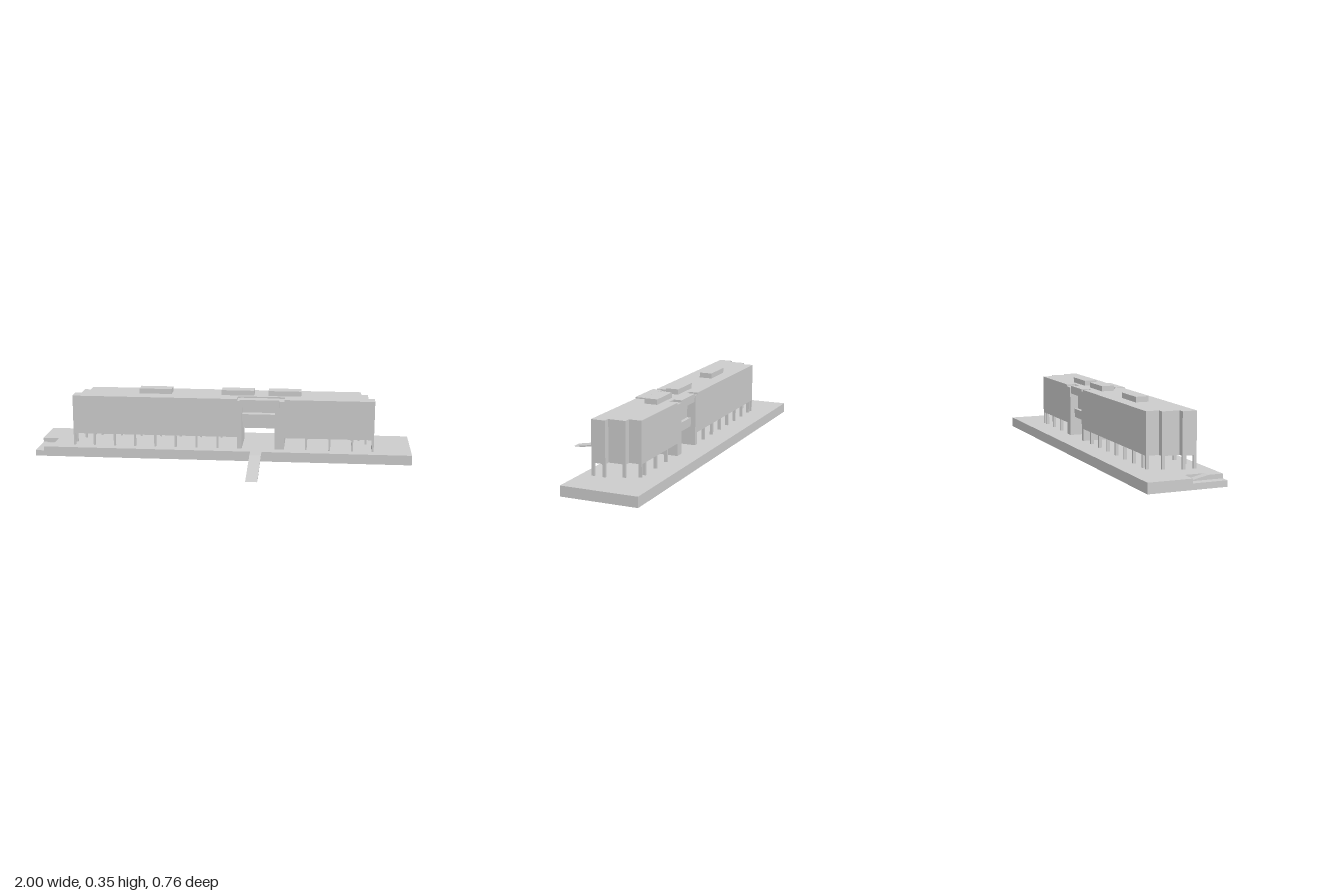
import * as THREE from 'three';

const mat = new THREE.MeshStandardMaterial({ color: 0xcccccc, flatShading: true, side: THREE.DoubleSide });

export function createModel() {
  const model = new THREE.Group();

  const add = (name, geo) => {
    const mesh = new THREE.Mesh(geo, mat);
    mesh.name = name;
    model.add(mesh);
    return mesh;
  };
  // Box given by its limits on each axis
  const box = (name, x0, x1, y0, y1, z0, z1) =>
    add(name, new THREE.BoxGeometry(x1 - x0, y1 - y0, z1 - z0)
      .translate((x0 + x1) / 2, (y0 + y1) / 2, (z0 + z1) / 2));
  // Plan outline of [x, z] points raised from y0 to y1
  const raise = (name, plan, y0, y1) => {
    const shape = new THREE.Shape(plan.map(([x, z]) => new THREE.Vector2(x, -z)));
    const geo = new THREE.ExtrudeGeometry(shape, { depth: y1 - y0, bevelEnabled: false });
    return add(name, geo.rotateX(-Math.PI / 2).translate(0, y0, 0));
  };
  // Side outline of [z, y] points carried from x0 to x1
  const sweep = (name, side, x0, x1) => {
    const shape = new THREE.Shape(side.map(([z, y]) => new THREE.Vector2(-z, y)));
    const geo = new THREE.ExtrudeGeometry(shape, { depth: x1 - x0, bevelEnabled: false });
    return add(name, geo.rotateY(Math.PI / 2).translate(x0, 0, 0));
  };

  const ground = 0.052, under = 0.115, top = 0.322;
  const front = -0.045, back = -0.27;

  // Plinth with a recessed corner: lower slab plus notched upper slab
  box('plinthLower', -1, 1, 0, 0.03, -0.379, 0.012);
  raise('plinthUpper', [
    [-0.955, 0.012], [1, 0.012], [1, -0.379], [-1, -0.379], [-1, -0.16],
    [-0.915, -0.16], [-0.915, -0.06], [-0.955, -0.06],
  ], 0.03, ground);
  sweep('cornerRamp', [[-0.16, 0.03], [-0.06, 0.03], [-0.06, ground]], -0.955, -0.915);

  // Sloping walkway from the plinth to the ground
  sweep('walkway', [
    [0.012, 0.045], [0.07, 0.045], [0.33, 0.001], [0.379, 0], [0.08, ground], [0.012, ground],
  ], 0.155, 0.215);

  // Two raised wings whose outer ends step in toward the back
  const wing = (name, inner, s) => raise(name, [
    [inner, front], [s * 0.803, front], [s * 0.803, -0.117], [s * 0.77, -0.117],
    [s * 0.77, -0.205], [s * 0.735, -0.205], [s * 0.735, back], [inner, back],
  ], under, top);
  wing('rightWing', 0.08, -1);
  wing('leftWing', 0.33, 1);

  // Central passage: side walls, bridge, bands and canopies
  box('passageWallRight', 0.08, 0.105, ground, 0.312, back, front);
  box('passageWallLeft', 0.28, 0.33, ground, 0.312, back, front);
  box('bridge', 0.08, 0.33, 0.15, top, -0.225, -0.11);
  box('frontBand', 0.1, 0.285, 0.195, 0.235, -0.11, -0.07);
  box('frontCanopy', 0.095, 0.303, 0.28, top, -0.08, -0.028);
  box('backBand', 0.1, 0.285, 0.15, 0.195, -0.245, -0.225);
  box('backCanopy', 0.11, 0.275, 0.28, top, -0.268, -0.225);

  // Roof boxes
  for (const x of [-0.367, 0.077, 0.328])
    box('roofBox', x - 0.087, x + 0.087, top, 0.349, -0.2, -0.132);

  // Stilts under the wings, flush with the outer faces
  const stilt = (x, z) => box('stilt', x - 0.005, x + 0.005, ground, under, z - 0.008, z + 0.008);
  const inner = [-0.69, -0.58, -0.47, -0.36, -0.25, -0.137, -0.024, 0.446, 0.57, 0.69];
  for (const x of inner) {
    stilt(x, front - 0.008);
    stilt(x, back + 0.008);
  }
  for (const s of [-1, 1]) {
    stilt(s * 0.798, front - 0.008);
    stilt(s * 0.798, -0.109);
    stilt(s * 0.765, -0.197);
    stilt(s * 0.73, back + 0.008);
  }
  return model;
}
